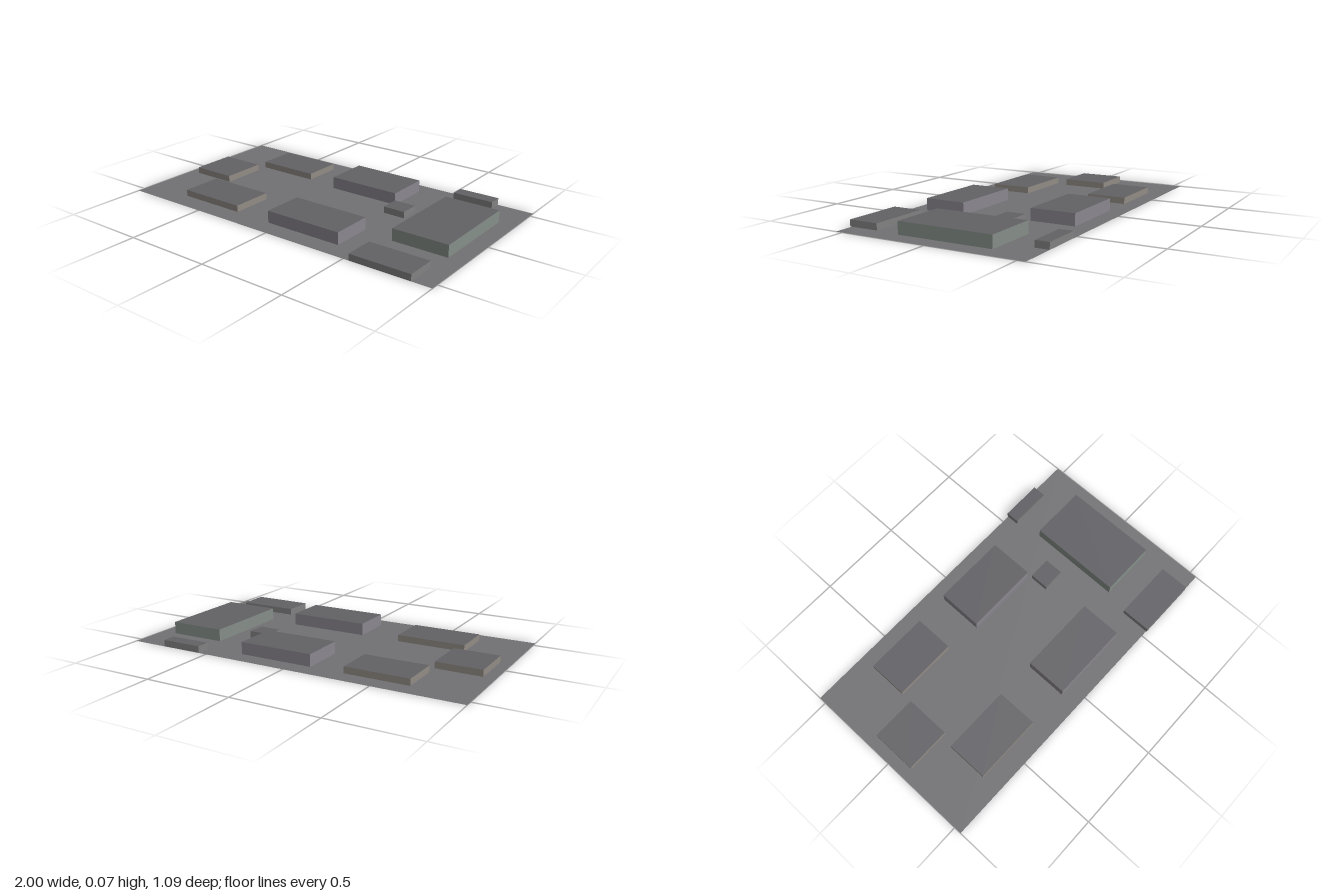
import * as THREE from 'three';

const mat = (color) => new THREE.MeshStandardMaterial({ color });

export function createModel() {
  const model = new THREE.Group();
  model.name = 'siteModel';

  const roof = mat(0x626266);
  const walls = {
    beige: mat(0x928c85),
    purple: mat(0x8b8790),
    green: mat(0x868f89),
    grey: mat(0x828282),
  };

  // Flat ground sheet, seen from both sides
  const groundMaterial = mat(0x727274);
  groundMaterial.side = THREE.DoubleSide;
  const ground = new THREE.Mesh(new THREE.PlaneGeometry(2, 1.086), groundMaterial);
  ground.rotation.x = -Math.PI / 2;
  ground.name = 'ground';
  model.add(ground);

  // Flat-roofed blocks: name, wall colour, x range, z range, top height
  const base = 0.002;
  const low = 0.039;
  const tall = 0.071;
  const blocks = [
    ['backLeftHouse', 'beige', -0.674, -0.305, -0.447, -0.217, low],
    ['sideHouse', 'beige', -0.936, -0.674, -0.148, 0.114, low],
    ['frontHouse', 'beige', -0.706, -0.307, 0.19, 0.43, low],
    ['backHall', 'purple', -0.107, 0.327, -0.446, -0.186, tall],
    ['frontHall', 'purple', -0.074, 0.39, 0.195, 0.437, tall],
    ['mainHall', 'green', 0.577, 0.904, -0.316, 0.229, tall],
    ['smallShed', 'grey', 0.341, 0.471, -0.164, -0.052, low],
    ['backShed', 'grey', 0.545, 0.786, -0.546, -0.468, low],
    ['frontShed', 'grey', 0.536, 0.89, 0.373, 0.547, low],
  ];
  for (const [name, wall, x0, x1, z0, z1, top] of blocks) {
    const w = walls[wall];
    // Box sides in order +x, -x, +y, -y, +z, -z: the top gets the roof colour
    const block = new THREE.Mesh(
      new THREE.BoxGeometry(x1 - x0, top - base, z1 - z0),
      [w, w, roof, w, w, w]
    );
    block.position.set((x0 + x1) / 2, (base + top) / 2, (z0 + z1) / 2);
    block.name = name;
    model.add(block);
  }
  return model;
}
